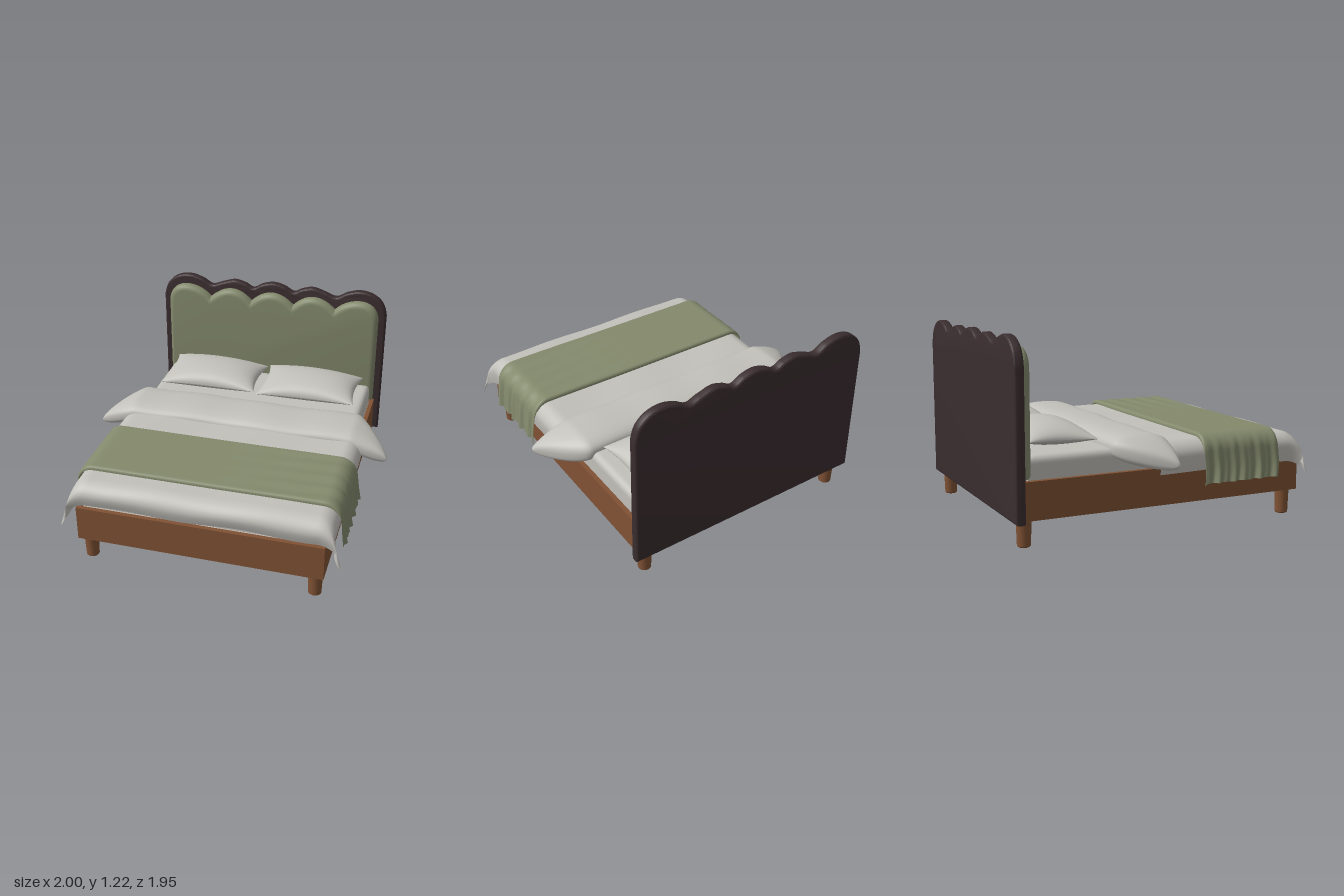
import * as THREE from 'three';
import { toCreasedNormals } from 'three/addons/utils/BufferGeometryUtils.js';
import { ParametricGeometry } from 'three/addons/geometries/ParametricGeometry.js';

const material = (name, color, side = THREE.FrontSide) => {
  const m = new THREE.MeshStandardMaterial({ color, side });
  m.name = name;
  return m;
};

export function createModel() {
  const bed = new THREE.Group();
  bed.name = 'bed';
  const linen = material('linen', 0xc2c0ba, THREE.DoubleSide);
  const sage = material('sage fabric', 0x848a6d, THREE.DoubleSide);
  const wood = material('warm wood', 0x805234);
  const darkWood = material('dark wood', 0x3a2d2f);

  const add = (name, geometry, mat, x = 0, y = 0, z = 0) => {
    const mesh = new THREE.Mesh(geometry, mat);
    mesh.name = name;
    mesh.position.set(x, y, z);
    bed.add(mesh);
    return mesh;
  };
  const surface = (name, mat, fn, nu, nv) => {
    const geometry = new ParametricGeometry(fn, nu, nv);
    geometry.computeVertexNormals();
    return add(name, geometry, mat);
  };

  // Rectangular ring lying flat, used for the rails and the inner ledge
  const ring = (name, mat, x, z0, z1, width, y0, y1) => {
    const rect = (path, a, b, c) => path.moveTo(-a, -b).lineTo(a, -b).lineTo(a, -c).lineTo(-a, -c).closePath();
    const shape = new THREE.Shape();
    rect(shape, x, z1, z0);
    const hole = new THREE.Path();
    rect(hole, x - width, z1 - width, z0 + width);
    shape.holes.push(hole);
    const g = new THREE.ExtrudeGeometry(shape, { depth: y1 - y0, bevelEnabled: false });
    add(name, g.rotateX(-Math.PI / 2), mat, 0, y0, 0);
  };
  ring('bedRails', wood, 0.785, -0.92, 0.96, 0.03, 0.16, 0.39);
  ring('innerLedge', linen, 0.755, -0.89, 0.93, 0.09, 0.36, 0.38);

  // Legs
  const legProfile = [[0, 0], [0.034, 0], [0.041, 0.007], [0.046, 0.165], [0, 0.165]]
    .map(([r, y]) => new THREE.Vector2(r, y));
  const legGeometry = toCreasedNormals(new THREE.LatheGeometry(legProfile, 24), 0.6);
  for (const x of [-0.725, 0.725]) for (const z of [-0.9, 0.89]) add('leg', legGeometry, wood, x, 0, z);

  // Scalloped headboard with a rounded rim
  const half = [[-0.822, 1.07], [-0.79, 1.15], [-0.72, 1.205], [-0.63, 1.222], [-0.54, 1.2], [-0.46, 1.16],
    [-0.38, 1.185], [-0.29, 1.21], [-0.21, 1.192], [-0.15, 1.165], [-0.08, 1.2]];
  const crest = [...half, [0, 1.218], ...half.map(([x, y]) => [-x, y]).reverse()]
    .map(([x, y]) => new THREE.Vector2(x, y));
  const board = new THREE.Shape();
  board.moveTo(-0.825, 0.15).lineTo(-0.825, 1.0);
  board.splineThru([...crest, new THREE.Vector2(0.825, 1.0)]);
  board.lineTo(0.825, 0.15).closePath();
  const padded = (shape, depth, bevel, curveSegments) => toCreasedNormals(new THREE.ExtrudeGeometry(shape, {
    depth: depth - 2 * bevel, bevelThickness: bevel, bevelSize: bevel, bevelOffset: -bevel,
    bevelSegments: 5, curveSegments,
  }).translate(0, 0, bevel), 0.65);
  add('headboardFrame', padded(board, 0.062, 0.016, 90), darkWood, 0, 0, -0.98);

  // Upholstered panel with arched top
  const panel = new THREE.Shape();
  panel.moveTo(-0.775, 0.4).lineTo(-0.775, 1.02);
  panel.bezierCurveTo(-0.775, 1.2, -0.56, 1.19, -0.46, 1.08);
  panel.quadraticCurveTo(-0.3, 1.23, -0.155, 1.08);
  panel.quadraticCurveTo(0, 1.23, 0.155, 1.08);
  panel.quadraticCurveTo(0.3, 1.23, 0.46, 1.08);
  panel.bezierCurveTo(0.56, 1.19, 0.775, 1.2, 0.775, 1.02);
  panel.lineTo(0.775, 0.4).closePath();
  add('headboardPanel', padded(panel, 0.09, 0.04, 14), sage, 0, 0, -0.95);

  // Cloth laid over a rounded edge: arc length t gives [offset, drop]
  const drape = (t, size, r) => {
    const s = Math.sign(t), flat = size - r, a = Math.abs(t) - flat;
    if (a <= 0) return [t, 0];
    if (a < r * Math.PI / 2) return [s * (flat + r * Math.sin(a / r)), r * (1 - Math.cos(a / r))];
    return [s * size, r + a - r * Math.PI / 2];
  };
  const reach = (size, r, drop) => drop ? size - r + r * Math.PI / 2 + drop - r : size - r;
  const cloth = (name, mat, o) => {
    const lx = reach(o.x, o.r, o.drop), zc = (o.z0 + o.z1) / 2, hz = (o.z1 - o.z0) / 2;
    const back = reach(hz, o.rz, o.back), front = reach(hz, o.rz, o.front);
    surface(name, mat, (u, v, p) => {
      const [x, dx] = drape((2 * u - 1) * lx, o.x, o.r);
      const [z, dz] = drape(front - v * (front + back), hz, o.rz);
      p.set(x, o.top - Math.max(dx, dz) - o.corner * Math.min(dx, dz), zc + z);
      if (o.shape) o.shape(p, dx, dz);
    }, 120, 80);
  };

  cloth('mattress', linen, { x: 0.752, r: 0.04, drop: 0.15, z0: -0.88, z1: 0.91, rz: 0.04,
    back: 0.15, front: 0.15, top: 0.53, corner: 0 });

  // Duvet hangs lower and flares at the two foot corners
  cloth('duvet', linen, { x: 0.82, r: 0.09, drop: 0.19, z0: -0.15, z1: 0.935, rz: 0.09,
    back: 0, front: 0.15, top: 0.55, corner: 0.75,
    shape: (p, dx, dz) => {
      const s = Math.sign(p.x), k = dx * dz / 0.0285;
      p.y += 0.004 * Math.sin(p.x * 9 + p.z * 5) + 0.008 * Math.sin(p.x * 8) * dz / 0.15;
      p.z += 0.015 * Math.sin(Math.PI * dz / 0.15) + 0.035 * k;
      p.x += s * (0.01 * Math.sin(Math.PI * dx / 0.19) + 0.07 * k);
    } });

  // Throw with gathered sides
  cloth('throwBlanket', sage, { x: 0.835, r: 0.1, drop: 0.3, z0: 0.23, z1: 0.77, rz: 0.02,
    back: 0.025, front: 0.025, top: 0.582, corner: 1,
    shape: (p, dx) => {
      const s = Math.sign(p.x), k = dx / 0.3;
      p.x += s * k * (0.035 + 0.009 * Math.sin(p.z * 62) + 0.006 * Math.sin(p.z * 105 + s));
      p.y += 0.003 * Math.sin(p.z * 50 + p.x * 3) * THREE.MathUtils.smoothstep(p.x, 0, 0.6);
      p.z += 0.008 * k * Math.sin(p.y * 20);
    } });

  // Sage lining seen beneath the bed
  add('throwLining', new THREE.BoxGeometry(1.3, 0.006, 0.54), sage, 0, 0.518, 0.5);

  // Folded-back duvet: closed section that narrows and droops at both wings
  surface('duvetFold', linen, (u, v, p) => {
    const a = u * Math.PI * 2 - Math.PI / 2, x = Math.cos(v * Math.PI);
    const t = Math.max(0, (Math.abs(x) - 0.76) / 0.24);
    const zBack = -0.36 + 0.32 * Math.pow(t, 1.4), zFront = 0.01 - 0.03 * t * t;
    const h = 0.078 * Math.sqrt(Math.max(0, 1 - t * t));
    const soft = (c, e) => Math.sign(c) * Math.pow(Math.abs(c), e);
    p.set(x, 0.525 - 0.08 * t + h * soft(Math.sin(a), 0.75) + 0.003 * Math.sin(x * 13),
      (zFront + zBack) / 2 + (zFront - zBack) / 2 * soft(Math.cos(a), 0.75) + 0.005 * Math.sin(x * 7));
  }, 40, 90);

  // Pillows: upper and lower shells meeting at a pinched seam
  const pillowHalf = (cx, up) => surface(up > 0 ? 'pillowTop' : 'pillowBottom', linen, (u, v, p) => {
    const a = Math.sin((u - 0.5) * Math.PI) * up, b = -Math.sin((v - 0.5) * Math.PI);
    const ea = 1 - a * a, eb = 1 - b * b;
    const puff = Math.pow(Math.max(0, ea * eb), 0.5);
    p.set(cx + 0.348 * a * (1 - 0.08 * eb * a * a),
      0.592 + up * (up > 0 ? 0.098 : 0.055) * puff + 0.006 * a * b,
      -0.635 + 0.222 * b * (1 - 0.1 * ea * b * b));
  }, 36, 28);
  for (const cx of [-0.355, 0.355]) for (const up of [1, -1]) pillowHalf(cx, up);

  return bed;
}
